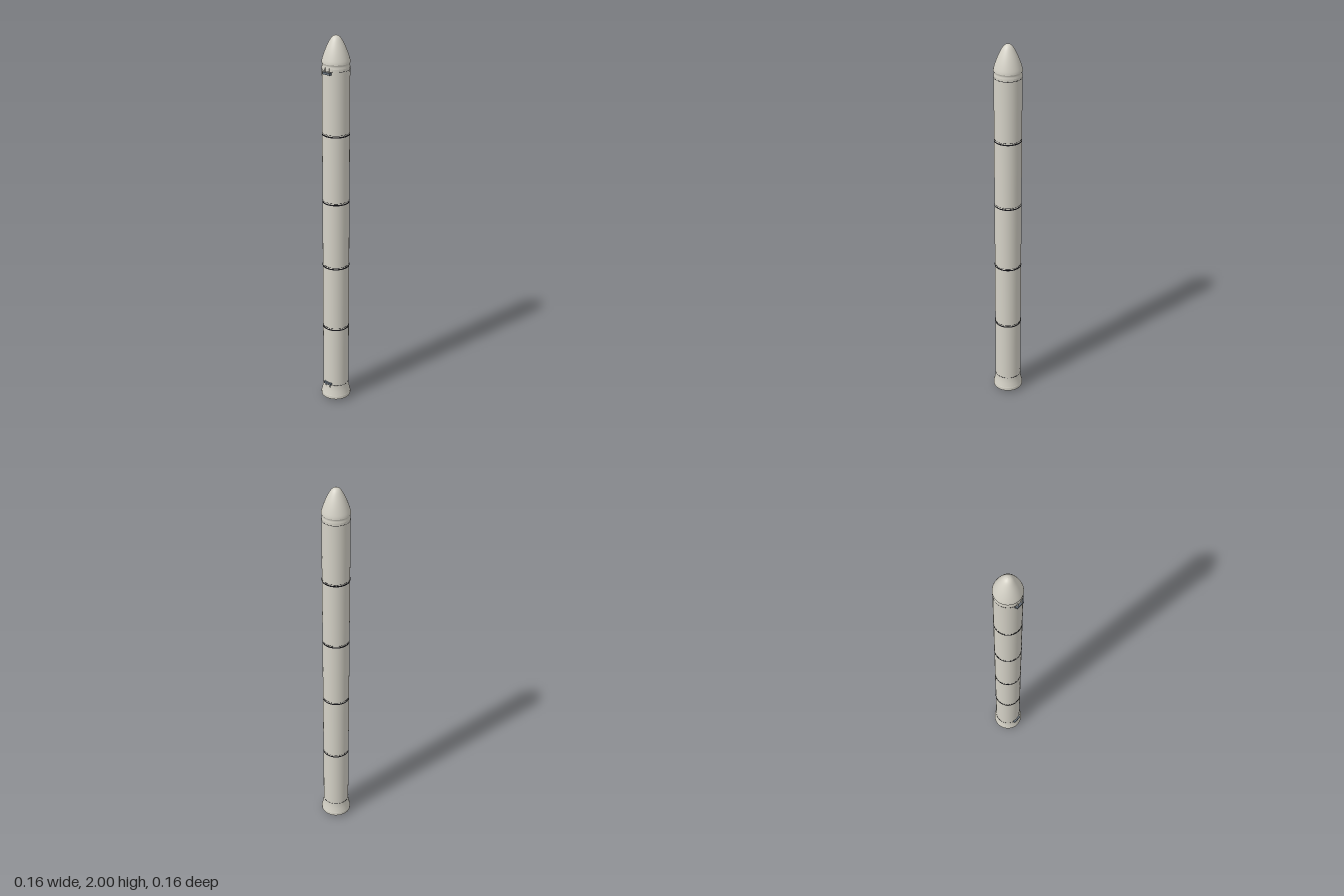
import * as THREE from 'three';

const mat = (name, color, side = THREE.FrontSide) => {
  const m = new THREE.MeshStandardMaterial({ color, side });
  m.name = name;
  return m;
};

export function createModel() {
  const group = new THREE.Group();
  const white = mat('warm white', 0xd4d1c6, THREE.DoubleSide);
  const dark = mat('joint black', 0x17171c);
  const navy = mat('nozzle navy', 0x16161f, THREE.DoubleSide);
  const steel = mat('bracket grey', 0x69737d);
  const R = 0.068;

  const add = (name, geometry, material, x = 0, y = 0, z = 0, parent = group) => {
    const mesh = new THREE.Mesh(geometry, material);
    mesh.name = name;
    mesh.position.set(x, y, z);
    parent.add(mesh);
    return mesh;
  };
  const lathe = (pts) => new THREE.LatheGeometry(pts.map(([r, y]) => new THREE.Vector2(r, y)), 48);
  const band = (name, y, h, r, m) => add(name, new THREE.CylinderGeometry(r, r, h, 48), m, 0, y);

  // Casing with four field joints, each with a thin seam above it
  add('casing', new THREE.CylinderGeometry(R, R, 1.755, 48), white, 0, 0.9725);
  for (let i = 0; i < 4; i++) {
    const y = 0.44 + i * 0.357;
    band('fieldJoint', y, 0.006, R + 0.0008, dark);
    band('jointSeam', y + 0.009, 0.0015, R + 0.0005, dark);
  }
  for (const y of [0.097, 1.837]) band('endSeam', y, 0.0015, R + 0.0005, dark);

  // Nose: narrow neck under a rounded ogive
  add('noseNeck', lathe([[R, 1.85], [0.0665, 1.858], [0.066, 1.864], [0.0695, 1.87]]), white);
  const ogive = new THREE.SplineCurve([
    [0.0695, 1.87], [0.067, 1.885], [0.0565, 1.918], [0.043, 1.951],
    [0.027, 1.981], [0.014, 1.995], [0, 2],
  ].map(([r, y]) => new THREE.Vector2(r, y)));
  const nosePoints = ogive.getPoints(28).map((p) => [Math.max(0, p.x), p.y]);
  add('noseCone', lathe(nosePoints), white);

  // Flared aft skirt, open below, with a closing bulkhead
  add('aftSkirt', lathe([[R, 0.096], [0.0685, 0.08], [0.0715, 0.06], [0.0765, 0.037]]), white);
  add('skirtRim', lathe([[0.0765, 0.037], [0.078, 0.034], [0.078, 0.018]]), white);
  add('skirtLip', lathe([[0.078, 0.018], [0.074, 0.018]]), dark);
  add('skirtInside', lathe([[0.074, 0.018], [0.07, 0.03], [0, 0.03]]), white);

  // Nozzle
  add('nozzle', lathe([[0, 0], [0.021, 0], [0.032, 0.008], [0.042, 0.018], [0.042, 0.03]]), navy);

  // Attachment brackets on the front: a crossbar and two short struts
  const bracket = (name, y, dir) => {
    const g = new THREE.Group();
    g.name = name;
    g.position.y = y;
    group.add(g);
    const s = new THREE.Shape();
    s.moveTo(-0.025, 0.061);
    s.lineTo(0.025, 0.061);
    s.lineTo(0.022, 0.076);
    s.lineTo(-0.022, 0.076);
    s.closePath();
    const bar = new THREE.ExtrudeGeometry(s, { depth: 0.011, bevelEnabled: false });
    bar.rotateX(Math.PI / 2);
    add('crossbar', bar, steel, 0, 0.0055, 0, g);
    for (const x of [-0.012, 0.012]) {
      const strut = add('strut', new THREE.BoxGeometry(0.004, 0.024, 0.006), white, x, dir * 0.014, 0.069, g);
      strut.rotation.x = -dir * 0.2;
    }
  };
  bracket('forwardBracket', 1.828, 1);
  bracket('aftBracket', 0.107, -1);

  return group;
}
